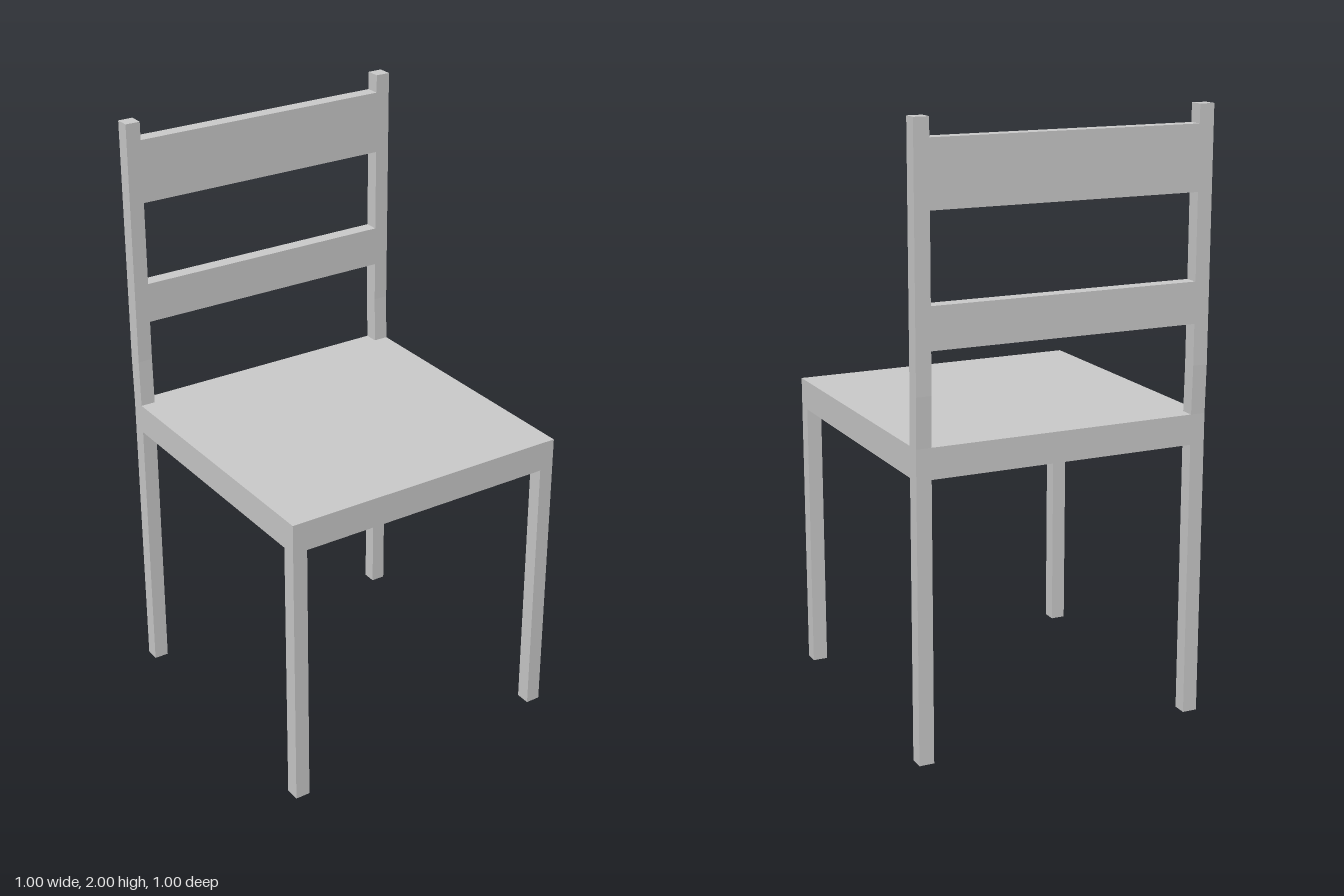
import * as THREE from 'three';

export function createModel() {
  const chair = new THREE.Group();
  chair.name = 'chair';
  const material = new THREE.MeshStandardMaterial({ color: 0xcccccc, flatShading: true });
  const T = 0.05; // thickness of legs, posts and slats

  const add = (name, geometry, x = 0, y = 0, z = 0) => {
    const mesh = new THREE.Mesh(geometry, material);
    mesh.name = name;
    mesh.position.set(x, y, z);
    chair.add(mesh);
  };
  // Box given by its bottom and top heights and its back and front depths
  const block = (name, x, width, y0, y1, z0, z1) =>
    add(name, new THREE.BoxGeometry(width, y1 - y0, z1 - z0), x, (y0 + y1) / 2, (z0 + z1) / 2);

  // Seat slab
  block('seat', 0, 1, 0.92, 1.02, -0.497, 0.502);

  // Side profile of a back post (z, y): steps slightly backwards above the seat
  const profile = new THREE.Shape([
    [-0.497, 1.02], [-0.449, 1.02], [-0.453, 1.18], [-0.453, 2], [-0.502, 2], [-0.502, 1.18],
  ].map(([z, y]) => new THREE.Vector2(z, y)));
  const postGeometry = new THREE.ExtrudeGeometry(profile, { depth: T, bevelEnabled: false });
  postGeometry.rotateY(-Math.PI / 2).translate(T / 2, 0, 0);

  // Legs and back posts, mirrored left and right
  for (const [side, sign] of [['left', 1], ['right', -1]]) {
    const x = sign * (0.5 - T / 2);
    block(side + 'FrontLeg', x, T, 0, 0.92, 0.452, 0.502);
    block(side + 'BackLeg', x, T, 0, 0.92, -0.497, -0.449);
    add(side + 'BackPost', postGeometry, x);
  }

  // Backrest slats between the posts
  block('upperSlat', 0, 1 - 2 * T, 1.73, 1.94, -0.502, -0.453);
  block('lowerSlat', 0, 1 - 2 * T, 1.315, 1.45, -0.502, -0.453);

  return chair;
}
